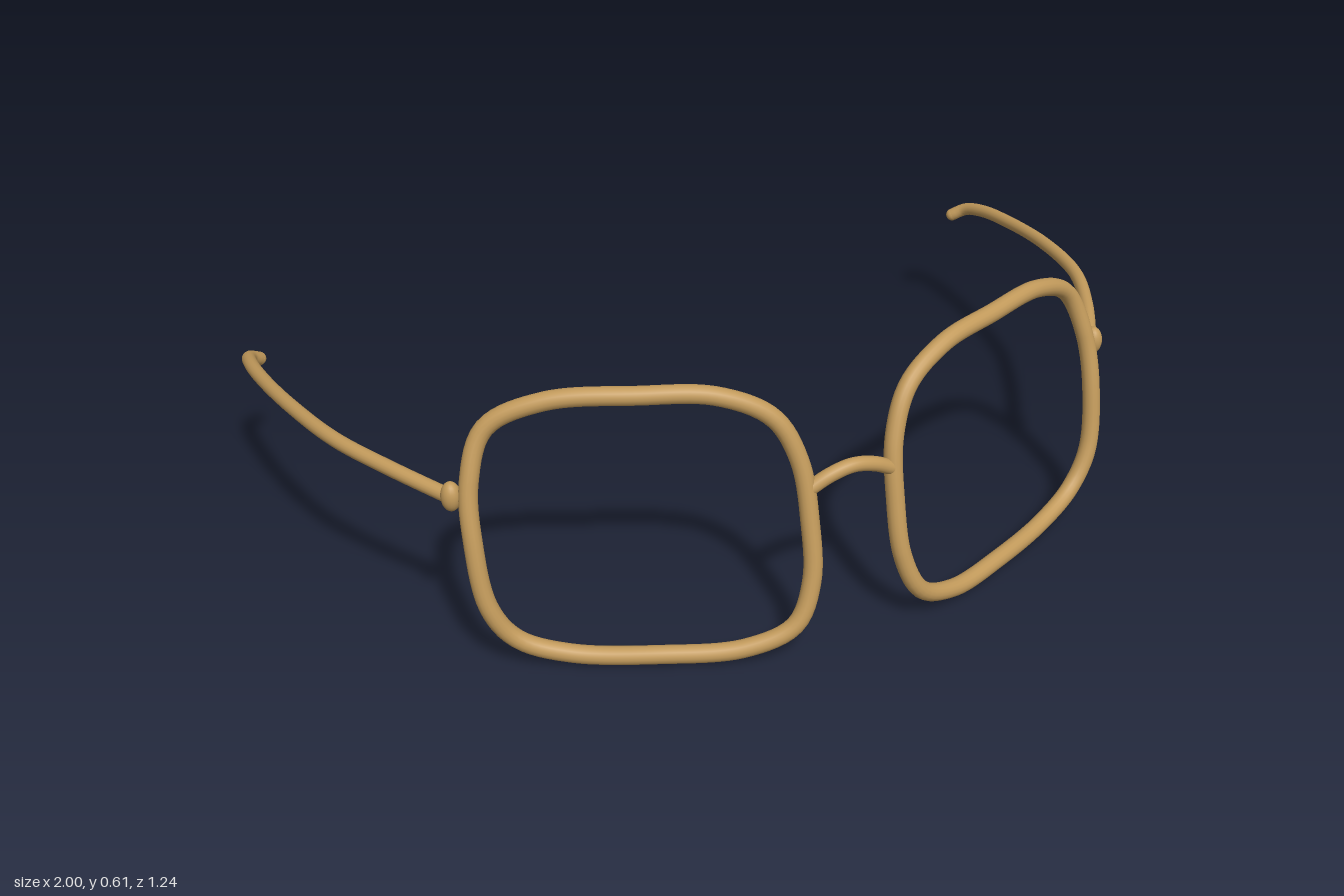
import * as THREE from 'three';

const gold = new THREE.MeshStandardMaterial({ color: 0xc29a5b });
gold.name = 'warm gold';

const curveOf = (points, closed = false) =>
  new THREE.CatmullRomCurve3(points.map((p) => new THREE.Vector3(...p)), closed, 'centripetal');

// Round wire along a smooth path
function wire(name, points, radius, segments, closed = false) {
  const geometry = new THREE.TubeGeometry(curveOf(points, closed), segments, radius, 16, closed);
  const mesh = new THREE.Mesh(geometry, gold);
  mesh.name = name;
  return mesh;
}

function ball(name, position, radii) {
  const geometry = new THREE.SphereGeometry(1, 20, 14).scale(...radii);
  const mesh = new THREE.Mesh(geometry, gold);
  mesh.name = name;
  mesh.position.set(...position);
  return mesh;
}

// Rounded-square rim, wrapped back toward the temple and tilted
const rimPath = [
  [0.41, 0.025, 0.505], [0.58, 0.03, 0.425], [0.68, 0.07, 0.383], [0.73, 0.15, 0.365],
  [0.745, 0.3, 0.335], [0.735, 0.42, 0.305], [0.69, 0.525, 0.288], [0.58, 0.58, 0.33],
  [0.41, 0.59, 0.405], [0.26, 0.58, 0.46], [0.155, 0.525, 0.5], [0.11, 0.43, 0.53],
  [0.1, 0.3, 0.562], [0.108, 0.17, 0.59], [0.15, 0.08, 0.6], [0.25, 0.035, 0.572],
];

// Temple arm, bowing outward and hooking in and down at the tip
const armPath = [
  [0.765, 0.383, 0.29], [0.85, 0.397, 0.15], [0.92, 0.401, 0.0], [0.963, 0.388, -0.2],
  [0.982, 0.363, -0.4], [0.982, 0.344, -0.52], [0.97, 0.325, -0.585], [0.945, 0.305, -0.608],
];

function createSide(side) {
  const label = side > 0 ? 'left' : 'right';
  const mirror = (points) => points.map(([x, y, z]) => [x * side, y, z]);
  const group = new THREE.Group();
  group.name = label + 'Side';
  const [tip] = mirror([armPath[armPath.length - 1]]);
  group.add(
    wire(label + 'Rim', mirror(rimPath), 0.02, 128, true),
    wire(label + 'Arm', mirror(armPath), 0.016, 72),
    ball(label + 'ArmTip', tip, [0.016, 0.016, 0.016]),
    ball(label + 'Hinge', [0.77 * side, 0.39, 0.292], [0.021, 0.033, 0.022]),
  );
  return group;
}

export function createModel() {
  const model = new THREE.Group();
  model.name = 'eyeglasses';
  model.add(createSide(1), createSide(-1));

  // Arched nose bridge
  model.add(wire('bridge', [
    [-0.1, 0.367, 0.548], [-0.05, 0.393, 0.553], [0, 0.404, 0.555],
    [0.05, 0.393, 0.553], [0.1, 0.367, 0.548],
  ], 0.016, 32));
  return model;
}
